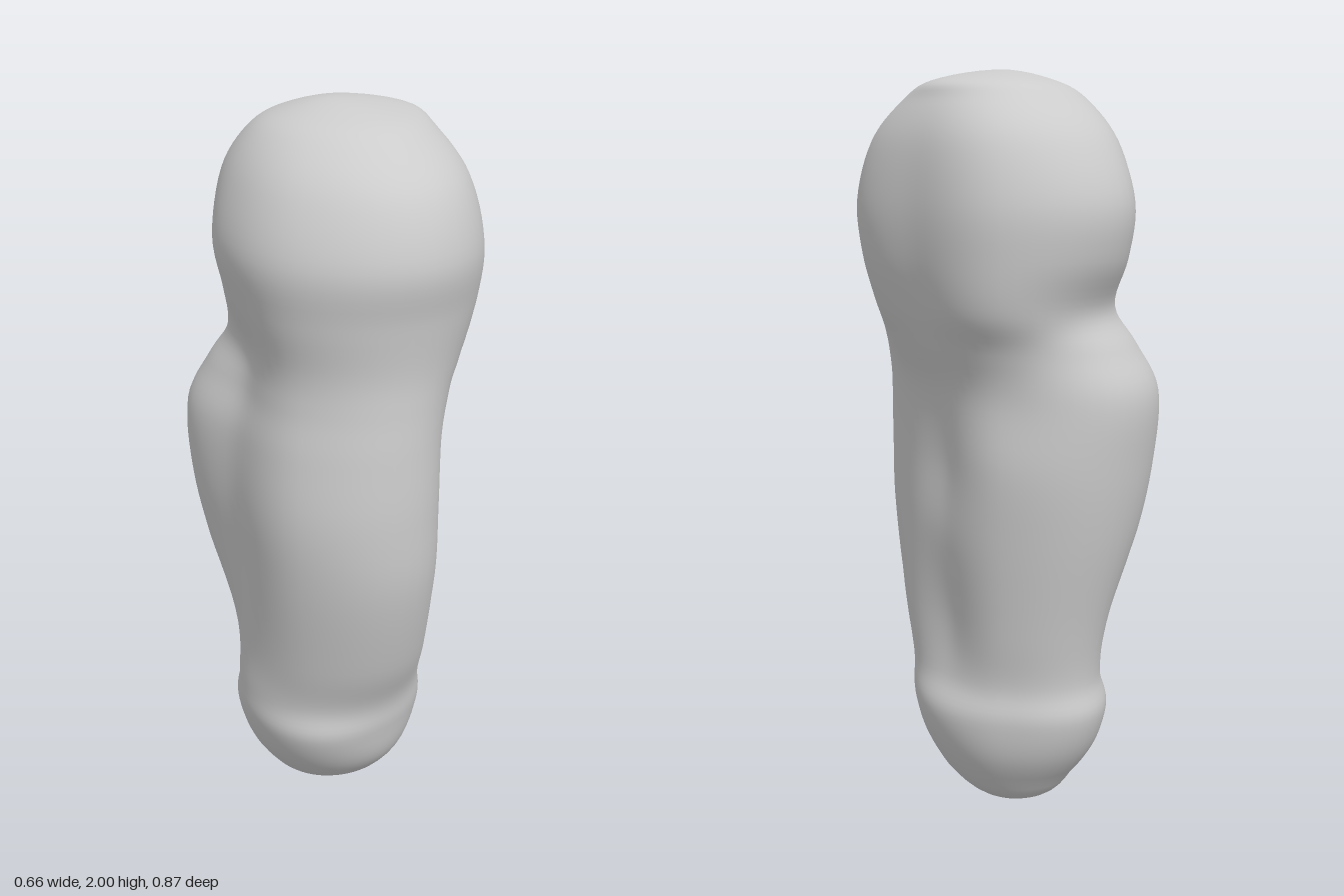
import * as THREE from 'three';

// Cross-sections, top to bottom: height, then the radius in eight directions:
// +x, +x+z, +z, -x+z, -x, -x-z, -z, +x-z
const SECTIONS = [
  // rounded head
  [1.97, .21, .18, .17, .15, .14, .14, .16, .20],
  [1.92, .26, .265, .27, .24, .22, .22, .25, .275],
  [1.82, .305, .345, .38, .33, .285, .285, .35, .355],
  [1.67, .325, .385, .435, .39, .325, .31, .415, .40],
  [1.53, .32, .375, .415, .38, .295, .295, .40, .40],
  // crease under the head, lower on the +x side, then the bulging shaft
  [1.40, .295, .34, .40, .36, .255, .285, .345, .38],
  [1.30, .265, .30, .40, .365, .27, .345, .385, .335],
  [1.18, .225, .265, .405, .385, .305, .405, .43, .31],
  [1.00, .21, .255, .41, .40, .315, .40, .42, .325],
  [0.80, .225, .26, .40, .38, .30, .36, .39, .31],
  [0.55, .20, .26, .34, .33, .285, .275, .335, .275],
  // lip and rounded tip
  [0.40, .21, .25, .28, .295, .29, .26, .315, .255],
  [0.30, .245, .25, .265, .30, .285, .28, .33, .27],
  [0.17, .21, .21, .225, .235, .235, .24, .28, .24],
  [0.045, .125, .115, .10, .11, .125, .14, .16, .145],
];

const spline = (a, b, c, d, t) =>
  b + 0.5 * t * (c - a + t * (2 * a - 5 * b + 4 * c - d + t * (3 * (b - c) + d - a)));

// Radii run on through zero past each end, so that both ends close as smooth domes
const pole = y => [y, 0, 0, 0, 0, 0, 0, 0, 0];
const mirrored = s => s.map((v, i) => (i ? -v : v));
const rows = [
  mirrored(SECTIONS[0]), pole(2), ...SECTIONS, pole(0), mirrored(SECTIONS[SECTIONS.length - 1]),
];

function loftGeometry(steps = 6, sides = 64) {
  const positions = [], indices = [];
  const rings = (rows.length - 3) * steps;
  for (let j = 0; j <= rings; j++) {
    const k = Math.min(Math.floor(j / steps), rows.length - 4);
    const t = j / steps - k;
    const section = rows[k].map((v, i) => spline(v, rows[k + 1][i], rows[k + 2][i], rows[k + 3][i], t));
    const radius = n => section[1 + ((n + 8) % 8)];
    // The tip sits slightly towards the back
    const shift = -0.035 * Math.max(0, 1 - section[0] / 0.1);
    for (let i = 0; i < sides; i++) {
      const f = (i / sides) * 8, n = Math.floor(f);
      const r = spline(radius(n - 1), radius(n), radius(n + 1), radius(n + 2), f - n);
      const angle = (i / sides) * Math.PI * 2;
      positions.push(r * Math.cos(angle), section[0], r * Math.sin(angle) + shift);
    }
  }
  for (let j = 0; j < rings; j++) {
    for (let i = 0; i < sides; i++) {
      const next = (i + 1) % sides;
      const a = j * sides + i, d = j * sides + next;
      const b = a + sides, c = d + sides;
      if (j > 0) indices.push(a, d, b);
      if (j < rings - 1) indices.push(d, c, b);
    }
  }
  const geometry = new THREE.BufferGeometry();
  geometry.setAttribute('position', new THREE.Float32BufferAttribute(positions, 3));
  geometry.setIndex(indices);
  geometry.computeVertexNormals();
  // Give each end point one straight normal
  const normals = geometry.attributes.normal;
  for (let i = 0; i < sides; i++) {
    normals.setXYZ(i, 0, 1, 0);
    normals.setXYZ(rings * sides + i, 0, -1, 0);
  }
  return geometry;
}

export function createModel() {
  const group = new THREE.Group();
  group.name = 'organicForm';
  const body = new THREE.Mesh(loftGeometry(), new THREE.MeshStandardMaterial({ color: 0xcccccc }));
  body.name = 'body';
  group.add(body);
  return group;
}
